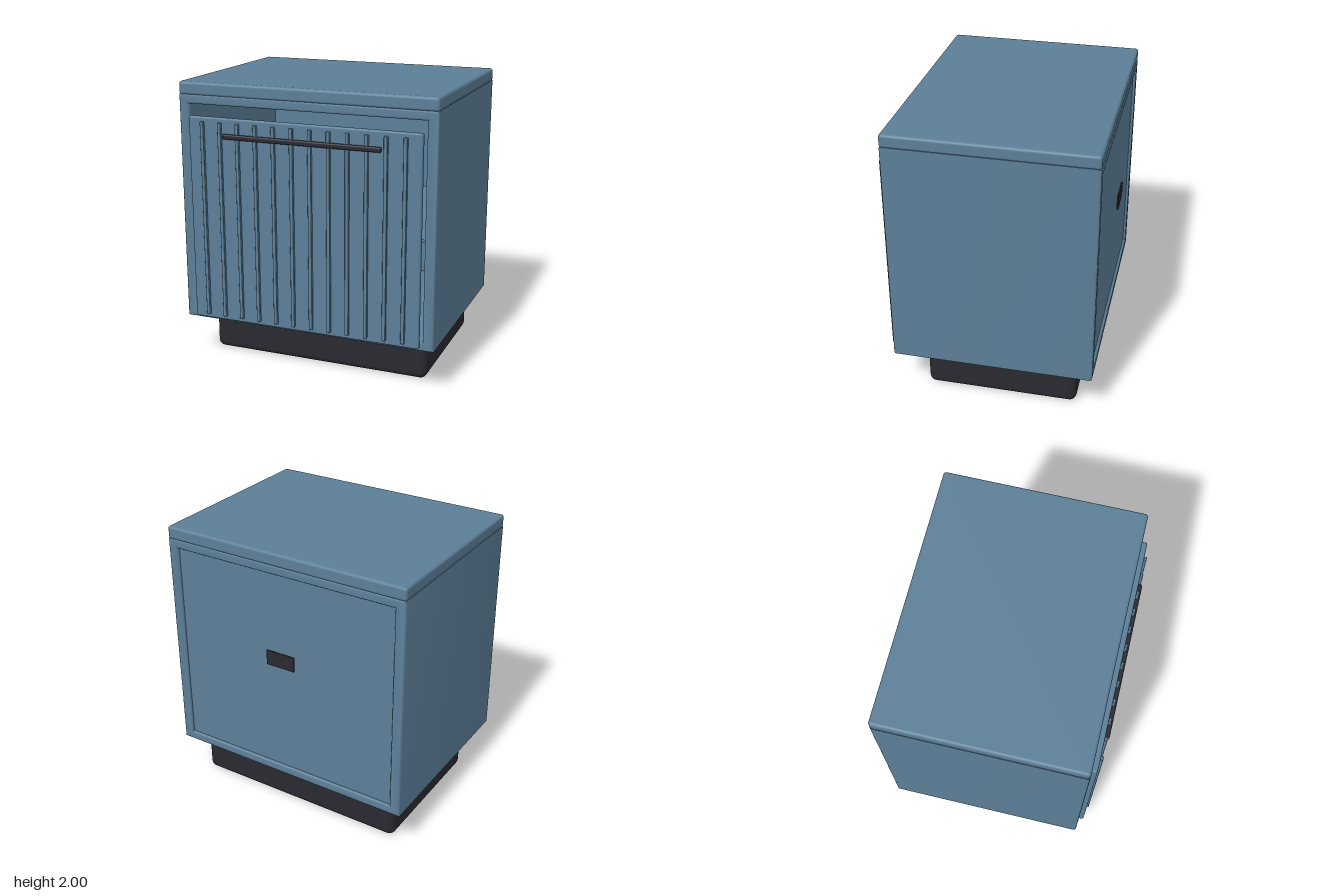
import * as THREE from 'three';
import { RoundedBoxGeometry } from 'three/addons/geometries/RoundedBoxGeometry.js';
import { toCreasedNormals } from 'three/addons/utils/BufferGeometryUtils.js';

const blue = new THREE.MeshStandardMaterial({ color: 0x5c7f98 });
blue.name = 'blue paint';
const dark = new THREE.MeshStandardMaterial({ color: 0x2a2930 });
dark.name = 'dark trim';

// Rounded box given by its limits on each axis
function box(name, material, [x0, x1], [y0, y1], [z0, z1], radius) {
  const w = x1 - x0, h = y1 - y0, d = z1 - z0;
  const geometry = radius
    ? new RoundedBoxGeometry(w, h, d, 3, radius)
    : new THREE.BoxGeometry(w, h, d);
  const mesh = new THREE.Mesh(geometry, material);
  mesh.name = name;
  mesh.position.set((x0 + x1) / 2, (y0 + y1) / 2, (z0 + z1) / 2);
  return mesh;
}

function rectangle(target, x, y0, y1) {
  target.moveTo(-x, y0);
  target.lineTo(x, y0);
  target.lineTo(x, y1);
  target.lineTo(-x, y1);
  target.closePath();
  return target;
}

// Open case: a softly bevelled rectangular tube running front to back
function makeCase() {
  const b = 0.015, front = 0.68, back = -0.72;
  const shape = rectangle(new THREE.Shape(), 0.915 - b, 0.31 + b, 1.915 - b);
  shape.holes.push(rectangle(new THREE.Path(), 0.84 + b, 0.375 - b, 1.85 + b));
  const geometry = new THREE.ExtrudeGeometry(shape, {
    depth: front - back - 2 * b, bevelEnabled: true,
    bevelSize: b, bevelThickness: b, bevelSegments: 4,
  });
  geometry.translate(0, 0, back + b);
  const mesh = new THREE.Mesh(toCreasedNormals(geometry, 0.7), blue);
  mesh.name = 'case';
  return mesh;
}

export function createModel() {
  const model = new THREE.Group();
  model.name = 'cabinet';

  // Body
  model.add(
    box('plinth', dark, [-0.805, 0.805], [0, 0.31], [-0.597, 0.47], 0.05),
    makeCase(),
    box('topBoard', blue, [-0.915, 0.915], [1.908, 2], [-0.72, 0.68], 0.02),
    box('backPanel', blue, [-0.845, 0.845], [0.37, 1.855], [-0.7, -0.675]),
    box('shelf', blue, [-0.842, 0.842], [1.05, 1.07], [-0.68, 0.64]),
    box('backPlate', dark, [-0.11, 0.11], [1.19, 1.3], [-0.745, -0.732], 0.004),
  );

  // Door with vertical ribs and a long bar handle
  const door = new THREE.Group();
  door.name = 'door';
  door.add(box('doorPanel', blue, [-0.825, 0.825], [0.335, 1.775], [0.678, 0.718], 0.012));
  const ribs = 12, span = 1.436;
  for (let i = 0; i < ribs; i++) {
    const x = -span / 2 + (i * span) / (ribs - 1);
    door.add(box('doorRib', blue, [x - 0.013, x + 0.013], [0.365, 1.745], [0.71, 0.737], 0.005));
  }
  door.add(box('handle', dark, [-0.56, 0.56], [1.638, 1.673], [0.719, 0.748], 0.011));
  model.add(door);
  return model;
}
